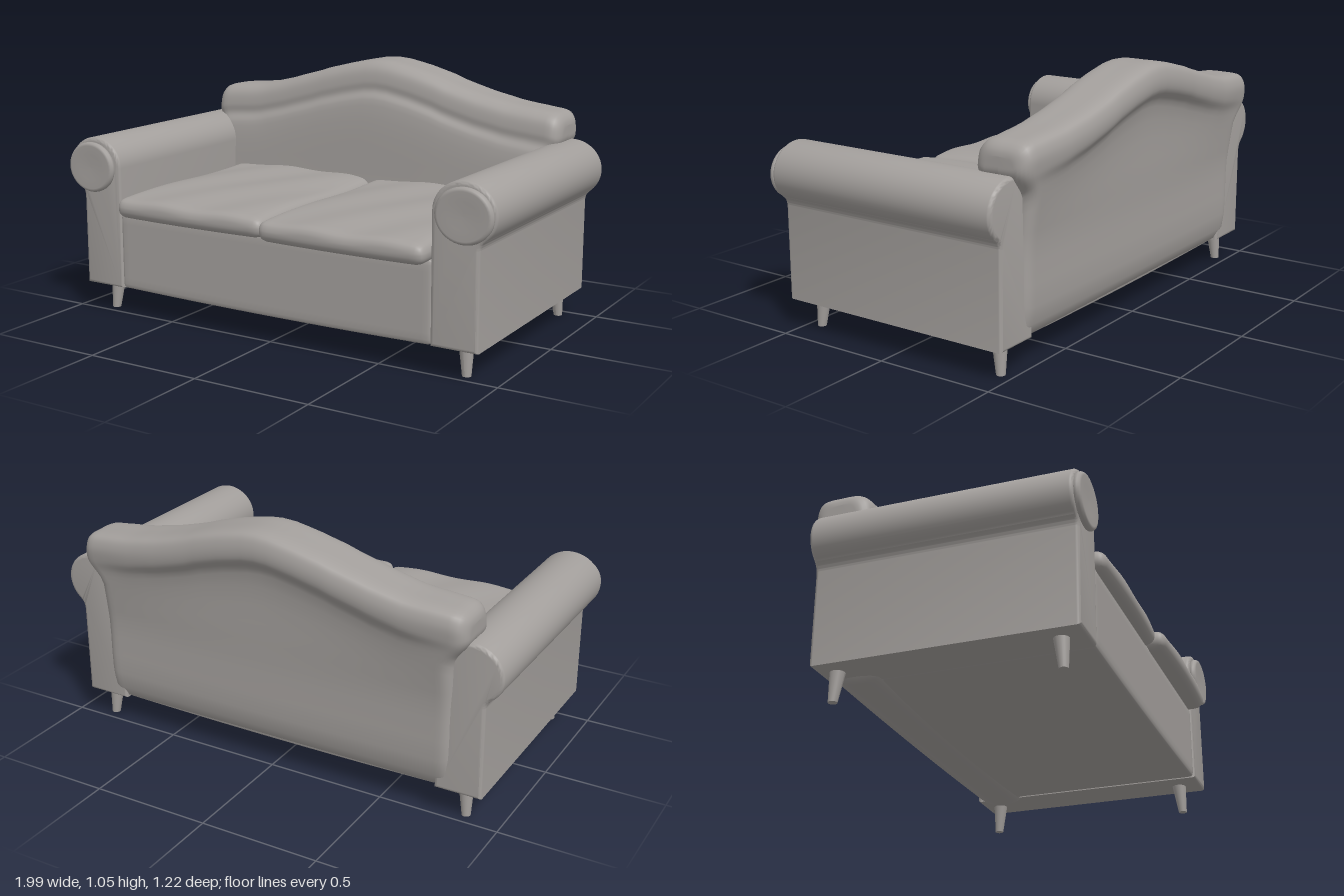
import * as THREE from 'three';
import { mergeVertices, toCreasedNormals } from 'three/addons/utils/BufferGeometryUtils.js';

const fabric = new THREE.MeshStandardMaterial({ color: 0xa39f9c });
fabric.name = 'warm grey fabric';

function add(parent, name, geometry, x = 0, y = 0, z = 0) {
  const mesh = new THREE.Mesh(geometry, fabric);
  mesh.name = name;
  mesh.position.set(x, y, z);
  parent.add(mesh);
  return mesh;
}

// Weld a geometry and give it smooth normals
function smooth(g) {
  g.deleteAttribute('uv');
  g.deleteAttribute('normal');
  g = mergeVertices(g, 1e-5);
  g.computeVertexNormals();
  return g;
}

// Padded box: rounded edges, plus an optional rule that moves each point
function softBox(w, h, d, r, rule) {
  const g = new THREE.BoxGeometry(2, 2, 2, 28, 12, 28);
  const p = g.attributes.position;
  const half = new THREE.Vector3(w / 2, h / 2, d / 2);
  const inner = half.clone().subScalar(r);
  const v = new THREE.Vector3(), core = new THREE.Vector3();
  const ease = (t) => Math.sin(t * Math.PI / 2);
  for (let i = 0; i < p.count; i++) {
    v.set(ease(p.getX(i)), ease(p.getY(i)), ease(p.getZ(i))).multiply(half);
    core.copy(v).clamp(inner.clone().negate(), inner);
    v.sub(core).normalize().multiplyScalar(r).add(core);
    if (rule) rule(v, half);
    p.setXYZ(i, v.x, v.y, v.z);
  }
  return smooth(g);
}

// Arm: upright panel with a rolled top, extruded front to back
function armGeometry(side) {
  const s = new THREE.Shape();
  s.moveTo(0.735, 0.12);
  s.lineTo(0.93, 0.12);
  s.lineTo(0.93, 0.50);
  s.quadraticCurveTo(0.93, 0.53, 0.95, 0.544);
  s.absellipse(0.865, 0.638, 0.132, 0.122, -0.87, Math.PI, false);
  s.closePath();
  const pts = s.getPoints(24).map((q) => new THREE.Vector2(q.x * side, q.y));
  const b = 0.015;
  const g = new THREE.ExtrudeGeometry(new THREE.Shape(pts), {
    depth: 1.045 - 2 * b, bevelEnabled: true, bevelSize: b, bevelThickness: b,
    bevelOffset: -b, bevelSegments: 4,
  });
  g.translate(0, 0, -0.51 + b);
  return toCreasedNormals(g, 0.8);
}

// Camel-shaped back: one section swept sideways under a curved top line
function backGeometry() {
  const crest = new THREE.CatmullRomCurve3([
    [-0.9, 0.875], [-0.78, 0.89], [-0.6, 0.908], [-0.4, 0.96], [-0.2, 1.015], [0, 1.05],
    [0.2, 1.015], [0.4, 0.955], [0.6, 0.908], [0.78, 0.885], [0.9, 0.87],
  ].map(([x, y]) => new THREE.Vector3(x, y, 0))).getPoints(200);
  const topAt = (x) => crest.find((q) => q.x >= x)?.y ?? 0.87;
  const section = (top, bulge) => new THREE.CatmullRomCurve3([
    [-0.49, 0.13], [-0.53, 0.5], [-0.562, top - 0.17], [-0.57 - bulge, top - 0.11],
    [-0.572 - bulge, top - 0.05], [-0.55 - bulge, top - 0.01], [-0.47, top],
    [-0.385, top - 0.006], [-0.35, top - 0.035], [-0.335, top - 0.09],
    [-0.335, top - 0.13], [-0.312, top - 0.175], [-0.295, 0.5], [-0.29, 0.13],
  ].map(([z, y]) => new THREE.Vector3(0, y, z)), true).getPoints(72).slice(0, -1);

  const rings = 48, pos = [], idx = [];
  let n = 0;
  for (let i = -1; i <= rings + 1; i++) {
    const k = Math.min(Math.max(i, 0), rings);
    const u = Math.sin((k / rings - 0.5) * Math.PI);
    const t = Math.min(1, Math.max(0, (Math.abs(u) - 0.94) / 0.06));
    const e = 1 - Math.sqrt(1 - t * t);
    const closed = i < 0 || i > rings; // collapsed ring seals the end
    const pts = section(topAt(u * 0.865), 0.037 * (1 - u * u));
    n = pts.length;
    for (const q of pts) {
      const y = 0.5 + (q.y - 0.5) * (1 - 0.13 * e);
      const z = -0.45 + (q.z + 0.45) * (1 - 0.45 * e);
      const w = 0.80 + 0.065 * THREE.MathUtils.smoothstep(y, 0.66, 0.78);
      pos.push(u * w, y, closed ? -0.45 : z);
    }
  }
  for (let i = 0; i < rings + 2; i++) {
    for (let j = 0; j < n; j++) {
      const a = i * n + j, b = i * n + (j + 1) % n;
      idx.push(a, b, a + n, b, b + n, a + n);
    }
  }
  const g = new THREE.BufferGeometry();
  g.setAttribute('position', new THREE.Float32BufferAttribute(pos, 3));
  g.setIndex(idx);
  g.computeVertexNormals();
  return g;
}

export function createModel() {
  const sofa = new THREE.Group();
  sofa.name = 'sofa';

  // Seat base, its underside sagging slightly
  add(sofa, 'seatBase', softBox(1.48, 0.33, 1.02, 0.02, (v, h) => {
    if (v.y < 0) v.y -= 0.008 * (1 - (v.x / h.x) ** 2);
  }), 0, 0.285, 0.02);

  add(sofa, 'backrest', backGeometry());

  for (const side of [-1, 1]) {
    const name = side > 0 ? 'left' : 'right';

    // Seat cushion: crowned on top, thinning to the front, wavy front edge
    const front = side > 0 ? 0.61 : 0.58, rear = -0.34;
    add(sofa, name + 'SeatCushion', softBox(0.735, 0.085, front - rear, 0.04, (v, h) => {
      const a = v.x / h.x, c = v.z / h.z;
      if (v.y > 0) v.y += 0.022 * (1 - a ** 4) * (1 - Math.max(0, c) ** 2) + 0.004 * Math.sin(7 * a + 4 * c);
      if (c > 0.8) v.z -= 0.012 * a * a;
    }), side * 0.367, 0.477, (front + rear) / 2);

    // Rolled arm and its round front facing
    add(sofa, name + 'Arm', armGeometry(side));
    const facing = new THREE.LatheGeometry(
      [[0.108, 0], [0.115, 0.008], [0.116, 0.018], [0.11, 0.027], [0.1, 0.03], [0.06, 0.027], [0, 0.026]]
        .map(([r, y]) => new THREE.Vector2(r, y)), 40);
    facing.rotateX(Math.PI / 2);
    facing.scale(1.02, 0.92, 1);
    add(sofa, name + 'ArmFacing', facing, side * 0.872, 0.635, 0.53);

    // Tapered legs, feet set slightly outward
    for (const end of [-1, 1]) {
      const leg = new THREE.CylinderGeometry(0.031, 0.018, 0.13, 20);
      const p = leg.attributes.position;
      for (let i = 0; i < p.count; i++) {
        const low = 0.5 - p.getY(i) / 0.13;
        p.setX(i, p.getX(i) + side * 0.008 * low);
        p.setZ(i, p.getZ(i) + end * 0.01 * low);
      }
      leg.computeVertexNormals();
      add(sofa, name + (end > 0 ? 'FrontLeg' : 'BackLeg'), leg, side * 0.84, 0.065, end * 0.435);
    }
  }
  return sofa;
}
